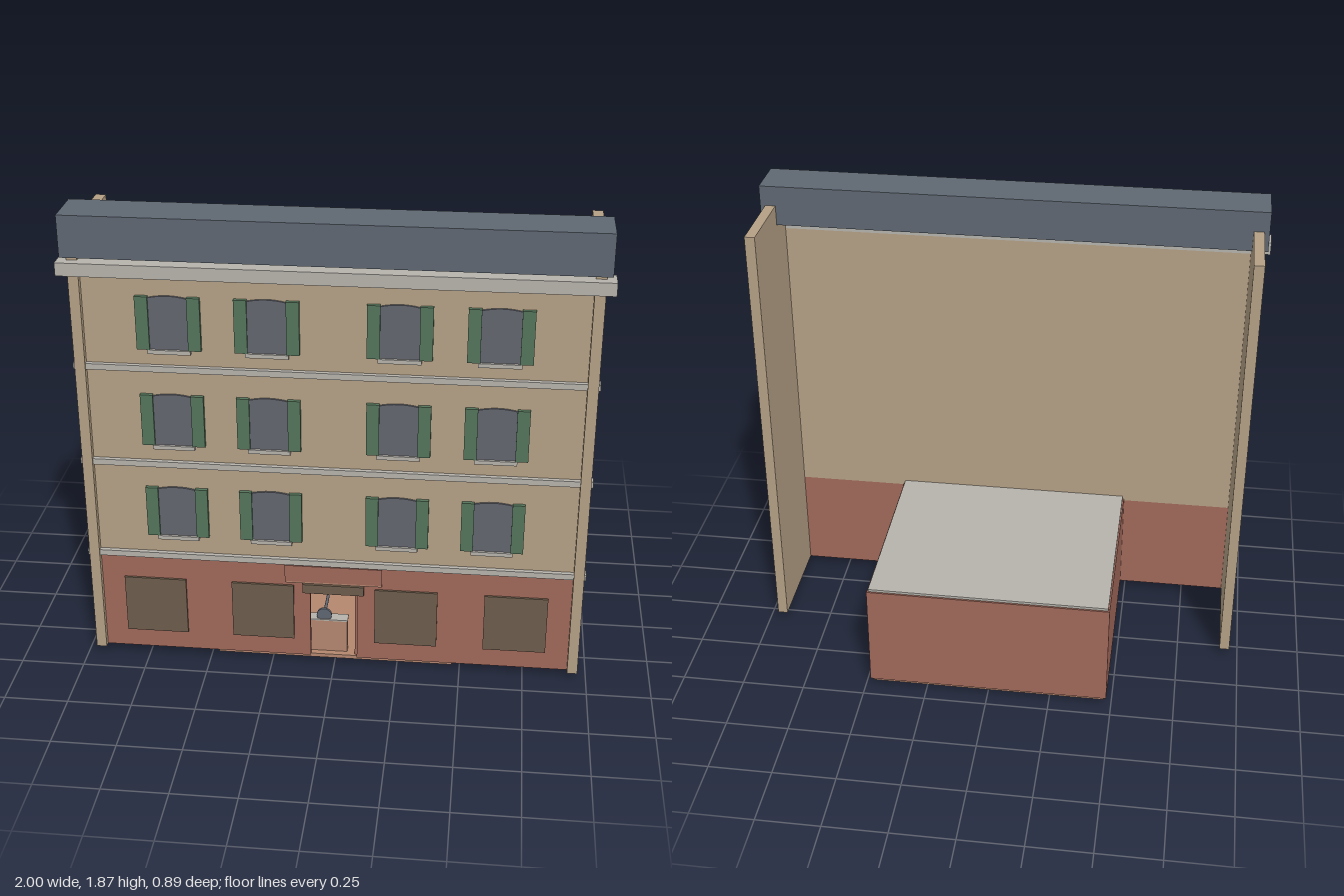
import * as THREE from 'three';

const mat = (name, color, side = THREE.FrontSide) => {
  const m = new THREE.MeshStandardMaterial({ color, side });
  m.name = name;
  return m;
};

export function createModel() {
  const tan = mat('tan plaster', 0xb4a085);
  const red = mat('red brick', 0xa0685a);
  const slate = mat('slate', 0x5f6772);
  const stone = mat('pale stone', 0xb6b3ac);
  const green = mat('shutter green', 0x55755b);
  const glass = mat('window glass', 0x63666f);
  const brown = mat('dark brown', 0x6d5c4b);
  const wood = mat('warm wood', 0xb4876f);

  const model = new THREE.Group();
  model.name = 'townhouse';

  const add = (name, geometry, material, parent = model) => {
    const mesh = new THREE.Mesh(geometry, material);
    mesh.name = name;
    parent.add(mesh);
    return mesh;
  };
  // Box given by its limits on each axis
  const box = (name, material, [x0, x1], [y0, y1], [z0, z1], parent) => {
    const mesh = add(name, new THREE.BoxGeometry(x1 - x0, y1 - y0, z1 - z0), material, parent);
    mesh.position.set((x0 + x1) / 2, (y0 + y1) / 2, (z0 + z1) / 2);
    return mesh;
  };

  // Facade: brick ground floor with a door notch, plaster above
  const back = 0.366, front = 0.386;
  const ground = new THREE.Shape([
    [-0.925, 0.035], [-0.095, 0.035], [-0.095, 0.34], [0.09, 0.34],
    [0.09, 0.035], [0.925, 0.035], [0.925, 0.46], [-0.925, 0.46],
  ].map(([x, y]) => new THREE.Vector2(x, y)));
  add('groundFloorFacade',
    new THREE.ExtrudeGeometry(ground, { depth: front - back, bevelEnabled: false }), red)
    .position.z = back;
  box('upperFacade', tan, [-0.925, 0.925], [0.46, 1.65], [back, front]);

  // Side walls
  for (const s of [-1, 1]) {
    box('sideWall', tan, s < 0 ? [-0.965, -0.925] : [0.925, 0.965], [0.035, 1.79], [-0.06, 0.41]);
  }

  // Roof, cornice and string courses
  box('roof', slate, [-0.985, 0.985], [1.71, 1.87], [0.245, 0.43]);
  box('cornice', stone, [-1, 1], [1.645, 1.695], [0.364, 0.445]);
  for (const y of [0.461, 0.864, 1.262]) {
    box('stringCourse', stone, [-0.972, 0.972], [y, y + 0.024], [0.368, 0.404]);
  }

  // Upper windows: arched pane, two shutters and a sill
  const pane = new THREE.Shape();
  pane.moveTo(-0.074, 0);
  pane.lineTo(0.074, 0);
  pane.lineTo(0.074, 0.202);
  pane.quadraticCurveTo(0, 0.22, -0.074, 0.202);
  const paneGeometry = new THREE.ExtrudeGeometry(pane,
    { depth: 0.008, bevelEnabled: false, curveSegments: 8 });
  for (const y of [0.563, 0.957, 1.351]) {
    for (const x of [-0.607, -0.243, 0.243, 0.607]) {
      const win = new THREE.Group();
      win.name = 'window';
      win.position.set(x, y, front);
      add('windowPane', paneGeometry, glass, win);
      box('leftShutter', green, [0.072, 0.12], [0, 0.209], [0, 0.016], win);
      box('rightShutter', green, [-0.12, -0.072], [0, 0.209], [0, 0.016], win);
      box('windowSill', stone, [-0.08, 0.08], [-0.016, 0], [0, 0.018], win);
      model.add(win);
    }
  }

  // Ground floor windows
  for (const x of [-0.712, -0.283, 0.283, 0.712]) {
    box('shopWindow', brown, [x - 0.123, x + 0.123], [0.115, 0.36], [front, front + 0.009]);
  }

  // Doorway: fascia, canopy and open door edge
  box('fascia', red, [-0.193, 0.188], [0.385, 0.456], [front, 0.4]);
  box('fasciaTrim', wood, [-0.193, 0.188], [0.379, 0.385], [front, 0.4]);
  box('canopy', brown, [-0.123, 0.118], [0.338, 0.377], [front, 0.408]);
  box('doorLeaf', red, [0.08, 0.089], [0.036, 0.337], [0.25, 0.366]);

  // Ground floor room running out behind the facade
  box('floor', wood, [-0.47, 0.47], [0.02, 0.036], [-0.43, 0.375]);
  for (const s of [-1, 1]) {
    box('roomSideWall', red, s < 0 ? [-0.48, -0.465] : [0.465, 0.48], [0.036, 0.466], [-0.425, back]);
  }
  box('roomBackWall', red, [-0.48, 0.48], [0.036, 0.47], [-0.442, -0.425]);
  box('roomRoof', stone, [-0.474, 0.474], [0.465, 0.48], [-0.435, back]);

  // Counter inside the door
  box('counter', wood, [-0.3, 0.048], [0.036, 0.178], [0.31, 0.35]);
  box('counterTop', stone, [-0.3, 0.05], [0.178, 0.184], [0.305, 0.352]);

  // Small round fittings lying with their axis along z
  const disc = new THREE.CylinderGeometry(0.03, 0.03, 0.01, 20).rotateX(Math.PI / 2);
  const pole = new THREE.CylinderGeometry(0.006, 0.006, 0.14, 10).rotateX(Math.PI / 2);
  for (const [x, y, z] of [[-0.045, 0.2, 0.34], [-0.245, 0.034, 0.135], [0.16, 0.034, 0.08]]) {
    const fitting = new THREE.Group();
    fitting.name = 'roundFitting';
    fitting.position.set(x, y, z);
    add('fittingDisc', disc, slate, fitting);
    // Only the raised fitting has a visible stem
    if (y > 0.1) add('fittingPole', pole, slate, fitting).position.z = -0.07;
    model.add(fitting);
  }

  return model;
}
